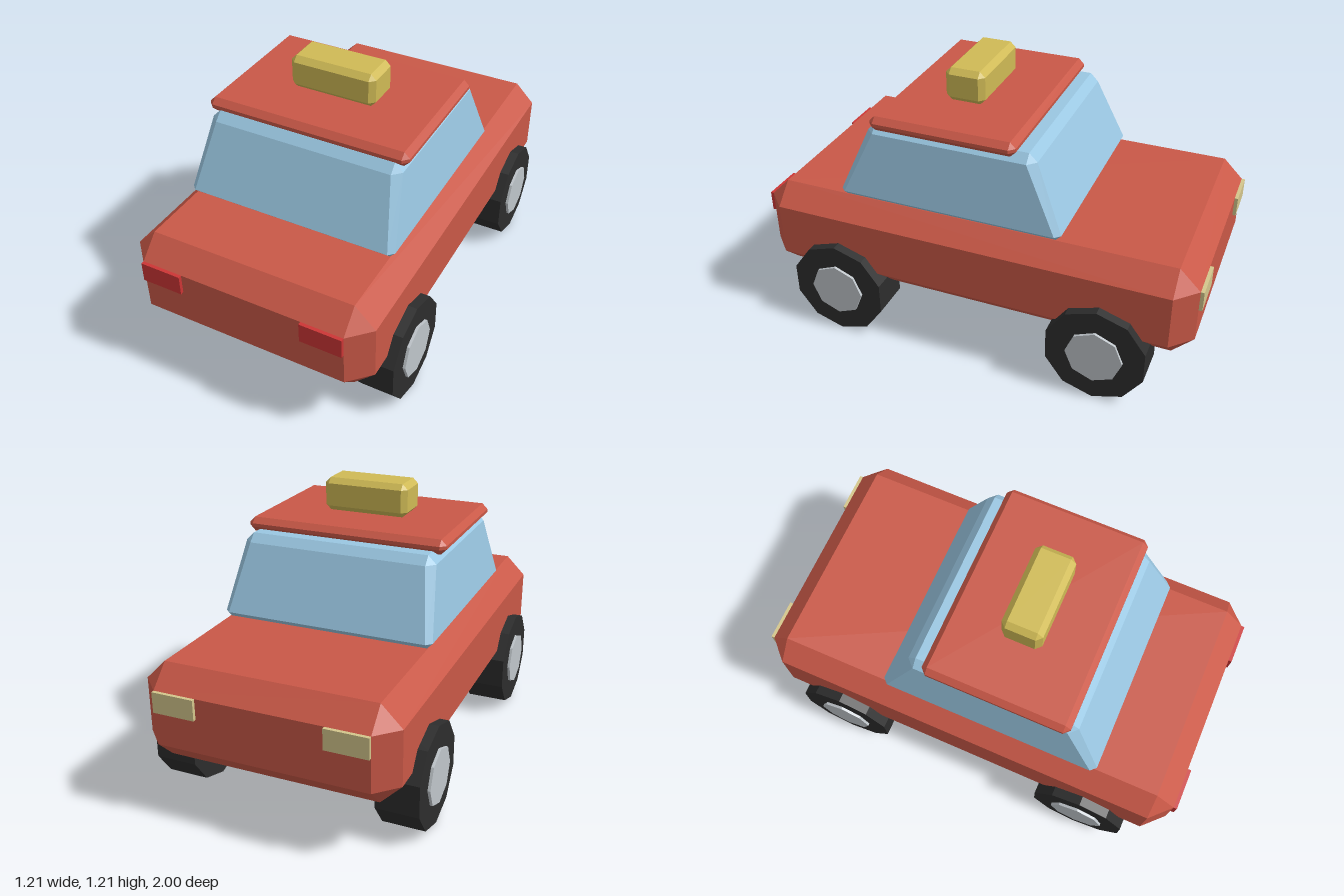
import * as THREE from 'three';
import { ConvexGeometry } from 'three/addons/geometries/ConvexGeometry.js';

const mat = (name, color) => {
  const m = new THREE.MeshStandardMaterial({ color });
  m.name = name;
  return m;
};

// Box with cut edges, optionally tapered: base and top are [half width, half depth, bevel]
function bevelBox(y0, y1, base, top = base) {
  const points = [];
  for (const [[w, d, b], y, up] of [[base, y0, 1], [top, y1, -1]]) {
    for (const sx of [-1, 1]) {
      for (const sz of [-1, 1]) {
        points.push(
          new THREE.Vector3(sx * (w - b), y, sz * (d - b)),
          new THREE.Vector3(sx * w, y + up * b, sz * (d - b)),
          new THREE.Vector3(sx * (w - b), y + up * b, sz * d)
        );
      }
    }
  }
  return new ConvexGeometry(points);
}

// Faceted disc with its axis along x
function disc(radius, width, sides, turn = 0) {
  const geo = new THREE.CylinderGeometry(radius, radius, width, sides).toNonIndexed();
  geo.rotateY(turn);
  geo.rotateZ(Math.PI / 2);
  geo.computeVertexNormals();
  return geo;
}

export function createModel() {
  const car = new THREE.Group();
  car.name = 'car';

  const paint = mat('body red', 0xc95847);
  const glass = mat('window blue', 0x9ac7e2);
  const rubber = mat('tyre black', 0x2d2d2d);
  const silver = mat('hub silver', 0xbfc5ca);
  const yellow = mat('sign yellow', 0xcfba55);
  const red = mat('lamp red', 0xcc3535);
  const cream = mat('lamp cream', 0xd4c68c);

  const add = (name, geo, material, x = 0, y = 0, z = 0, parent = car) => {
    const mesh = new THREE.Mesh(geo, material);
    mesh.name = name;
    mesh.position.set(x, y, z);
    parent.add(mesh);
    return mesh;
  };

  // Body, tapered cabin, roof and roof sign
  add('body', bevelBox(0.23, 0.65, [0.55, 0.985, 0.09]), paint);
  add('cabin', bevelBox(0.65, 1.0, [0.48, 0.508, 0.024], [0.44, 0.382, 0.036]), glass, 0, 0, 0.105);
  add('roof', bevelBox(0.985, 1.05, [0.46, 0.328, 0.025]), paint, 0, 0, 0.132);
  add('roofSign', bevelBox(1.05, 1.2, [0.197, 0.09, 0.024]), yellow, 0, 0, 0.135);

  // Lamps at both ends
  const lampGeo = new THREE.BoxGeometry(0.185, 0.09, 0.03);
  for (const [sx, side] of [[1, 'left'], [-1, 'right']]) {
    add(side + 'FrontLamp', lampGeo, red, sx * 0.3675, 0.515, 0.985);
    add(side + 'BackLamp', lampGeo, cream, sx * 0.3675, 0.515, -0.985);
  }

  // Wheels: tyre with a hub showing on both faces
  const tyreGeo = disc(0.224, 0.184, 10, Math.PI / 2);
  const hubGeo = disc(0.124, 0.208, 8);
  for (const [sx, side] of [[1, 'left'], [-1, 'right']]) {
    for (const [sz, end] of [[1, 'Front'], [-1, 'Back']]) {
      const wheel = new THREE.Group();
      wheel.name = side + end + 'Wheel';
      wheel.position.set(sx * 0.5, 0.213, sz * 0.605);
      add('tyre', tyreGeo, rubber, 0, 0, 0, wheel);
      add('hub', hubGeo, silver, 0, 0, 0, wheel);
      car.add(wheel);
    }
  }
  return car;
}
